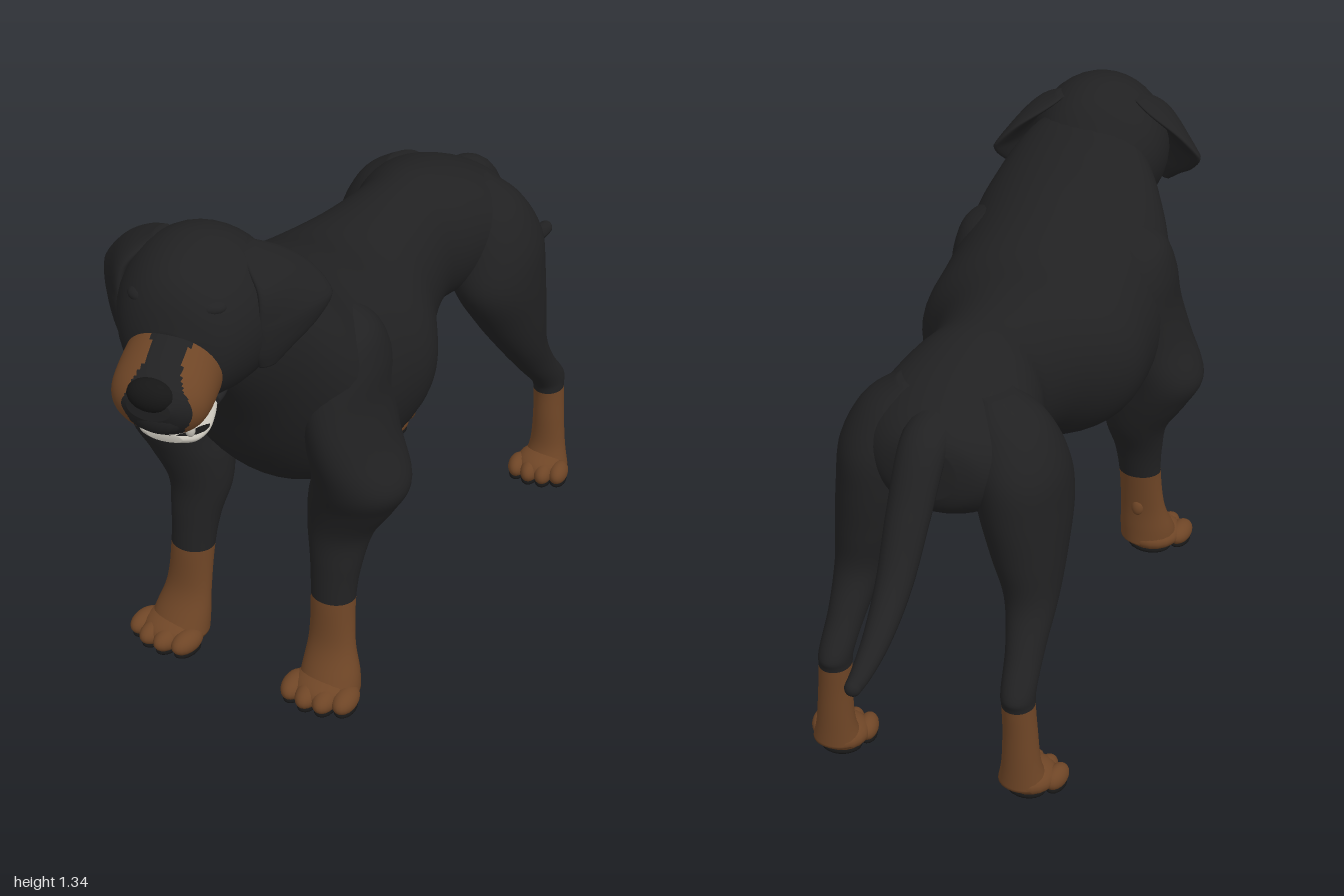
import * as THREE from 'three';

const mat = (name, color) => {
  const m = new THREE.MeshStandardMaterial({ color });
  m.name = name;
  return m;
};
const coat = mat('black coat', 0x212122);
const tan = mat('tan markings', 0x6e4526);
const dark = mat('pads and nose', 0x161616);
const ivory = mat('teeth and jaw', 0xc4c0b6);
const pink = mat('tongue', 0x8a5538);

const spline = (a, b, c, d, t) =>
  0.5 * (2 * b + (c - a) * t + (2 * a - 5 * b + 4 * c - d) * t * t + (3 * b - a - 3 * c + d) * t * t * t);

// Skin over elliptical sections [pos, cu, cv, ru, rv], running up z or down y.
// paint(pos, angle) picks the material index of each face.
function loft(axis, sections, paint = () => 0, seg = 36, steps = 6) {
  const n = sections.length, rings = [];
  const at = (i) => sections[Math.max(0, Math.min(n - 1, i))];
  for (let i = 0; i < n - 1; i++)
    for (let s = 0; s < steps; s++)
      rings.push(at(i).map((_, k) => spline(at(i - 1)[k], at(i)[k], at(i + 1)[k], at(i + 2)[k], s / steps)));
  rings.push(at(n - 1));
  const pos = [], faces = [[], []];
  const put = (p, u, v) => (axis === 'z' ? pos.push(u, v, p) : pos.push(u, p, v));
  for (const [p, cu, cv, ru, rv] of rings)
    for (let j = 0; j < seg; j++) {
      const a = (j / seg) * Math.PI * 2;
      put(p, cu + Math.max(ru, 0.002) * Math.cos(a), cv + Math.max(rv, 0.002) * Math.sin(a));
    }
  const last = rings.length - 1, c0 = rings.length * seg, c1 = c0 + 1;
  put(...rings[0].slice(0, 3));
  put(...rings[last].slice(0, 3));
  for (let j = 0; j < seg; j++) {
    const k = (j + 1) % seg, ang = ((j + 0.5) / seg) * Math.PI * 2;
    for (let i = 0; i < last; i++) {
      const a = i * seg + j, b = i * seg + k, c = b + seg, d = a + seg;
      faces[paint((rings[i][0] + rings[i + 1][0]) / 2, ang)].push(a, b, c, a, c, d);
    }
    faces[paint(rings[0][0], ang)].push(c0, k, j);
    faces[paint(rings[last][0], ang)].push(c1, last * seg + j, last * seg + k);
  }
  const g = new THREE.BufferGeometry();
  g.setAttribute('position', new THREE.Float32BufferAttribute(pos, 3));
  g.setIndex([...faces[0], ...faces[1]]);
  g.addGroup(0, faces[0].length, 0);
  g.addGroup(faces[0].length, faces[1].length, 1);
  g.computeVertexNormals();
  return g;
}

function add(parent, name, geo, material) {
  const m = new THREE.Mesh(geo, material);
  m.name = name;
  parent.add(m);
  return m;
}
function ball(parent, name, material, [x, y, z], [rx, ry, rz]) {
  const m = add(parent, name, new THREE.SphereGeometry(1, 20, 14), material);
  m.position.set(x, y, z);
  m.scale.set(rx, ry, rz);
  return m;
}
// Turns [z, top, bottom, halfWidth] into loft sections
const spans = (rows, cx = 0) => rows.map(([z, t, b, r]) => [z, cx, (t + b) / 2, r, (t - b) / 2]);

function paw(parent, x, z, size, turn) {
  const g = new THREE.Group();
  g.name = 'paw';
  ball(g, 'foot', tan, [0, 0.044, -0.005], [0.078, 0.04, 0.08]);
  ball(g, 'mainPad', dark, [0, 0.016, -0.025], [0.06, 0.016, 0.05]);
  for (let i = 0; i < 4; i++) {
    const u = i - 1.5, tx = u * 0.045, tz = 0.052 - Math.abs(u) * 0.016;
    ball(g, 'toe', tan, [tx, 0.038, tz], [0.03, 0.03, 0.05]);
    ball(g, 'toePad', dark, [tx, 0.013, tz], [0.026, 0.013, 0.042]);
  }
  g.position.set(x, 0, z);
  g.rotation.y = turn;
  g.scale.set(size, 1, size);
  parent.add(g);
}

function leg(parent, name, s, rows) {
  const sections = rows.map(([y, x, z, rx, rz]) => [y, s * x + 0.008, z, rx, rz]);
  add(parent, name, loft('y', sections, (y) => (y < 0.28 ? 1 : 0)), [coat, tan]);
}

export function createModel() {
  const dog = new THREE.Group();
  dog.name = 'dog';

  // Trunk and neck
  add(dog, 'body', loft('z', spans([
    [-0.555, 0.92, 0.78, 0.07], [-0.535, 0.95, 0.74, 0.135], [-0.48, 0.99, 0.7, 0.19],
    [-0.38, 1.035, 0.68, 0.215], [-0.26, 1.064, 0.69, 0.187], [-0.16, 1.066, 0.68, 0.163],
    [0, 1.058, 0.63, 0.205], [0.15, 1.055, 0.55, 0.29], [0.28, 1.095, 0.51, 0.3],
    [0.4, 1.14, 0.52, 0.295], [0.49, 1.205, 0.57, 0.28], [0.56, 1.265, 0.67, 0.24],
    [0.61, 1.285, 0.79, 0.195], [0.65, 1.26, 0.87, 0.155], [0.69, 1.2, 0.94, 0.1],
  ], 0.015), undefined, 48), [coat, coat]);
  ball(dog, 'sheath', coat, [0.02, 0.66, -0.12], [0.025, 0.035, 0.055]).rotation.x = -0.35;

  // Legs and paws
  for (const s of [1, -1]) {
    leg(dog, 'frontLeg', s, [
      [1.07, 0.16, 0.42, 0.02, 0.03], [1.02, 0.192, 0.42, 0.075, 0.09], [0.94, 0.207, 0.42, 0.092, 0.13],
      [0.84, 0.217, 0.43, 0.093, 0.15], [0.74, 0.238, 0.445, 0.1, 0.14], [0.63, 0.262, 0.445, 0.12, 0.12],
      [0.55, 0.235, 0.44, 0.112, 0.098], [0.46, 0.205, 0.445, 0.085, 0.075], [0.37, 0.205, 0.47, 0.066, 0.058],
      [0.28, 0.207, 0.487, 0.058, 0.05], [0.16, 0.213, 0.504, 0.062, 0.043], [0.08, 0.222, 0.525, 0.076, 0.06],
      [0.035, 0.225, 0.54, 0.08, 0.075],
    ]);
    paw(dog, s * 0.227, 0.55, 1.03, s * 0.12);
    ball(dog, 'dewPad', tan, [s * 0.21 + 0.008, 0.165, 0.466], [0.018, 0.026, 0.015]);

    leg(dog, 'hindLeg', s, [
      [1.0, 0.1, -0.38, 0.04, 0.05], [0.94, 0.135, -0.39, 0.09, 0.1], [0.84, 0.165, -0.395, 0.113, 0.143],
      [0.73, 0.18, -0.39, 0.112, 0.155], [0.61, 0.2, -0.42, 0.092, 0.118], [0.5, 0.22, -0.458, 0.066, 0.078],
      [0.4, 0.23, -0.527, 0.048, 0.064], [0.32, 0.236, -0.595, 0.042, 0.058], [0.28, 0.238, -0.603, 0.041, 0.047],
      [0.2, 0.242, -0.602, 0.043, 0.042], [0.1, 0.245, -0.6, 0.05, 0.042], [0.035, 0.247, -0.585, 0.065, 0.058],
    ]);
    paw(dog, s * 0.25, -0.567, 0.87, s * 0.2);
  }

  // Tapered tail, a little wider than it is thick
  const path = new THREE.CatmullRomCurve3([
    [0.02, 0.94, -0.46], [0.025, 0.92, -0.535], [0.03, 0.785, -0.63], [0.03, 0.65, -0.73],
    [0.03, 0.57, -0.84], [0.03, 0.538, -0.94], [0.03, 0.535, -0.98],
  ].map((p) => new THREE.Vector3(...p)));
  const tail = new THREE.TubeGeometry(path, 40, 1, 16), tp = tail.attributes.position;
  const v = new THREE.Vector3();
  for (let i = 0; i < tp.count; i++) {
    const t = Math.floor(i / 17) / 40, c = path.getPointAt(t);
    v.fromBufferAttribute(tp, i).sub(c).multiplyScalar(0.049 - 0.029 * Math.pow(t, 2.2));
    v.x *= 1.25 - 0.25 * t;
    v.add(c);
    tp.setXYZ(i, v.x, v.y, v.z);
  }
  tail.computeVertexNormals();
  add(dog, 'tail', tail, coat);
  ball(dog, 'tailTip', coat, [0.03, 0.535, -0.98], [0.02, 0.02, 0.02]);

  // Head, turned a little to its left about the neck
  const pivot = new THREE.Group(), head = new THREE.Group();
  pivot.name = 'headTurn';
  head.name = 'head';
  pivot.position.set(-0.015, 0, 0.62);
  pivot.rotation.y = 0.21;
  head.position.z = -0.62;
  pivot.add(head);
  dog.add(pivot);

  add(head, 'skull', loft('z', spans([
    [0.53, 1.23, 1.05, 0.11], [0.59, 1.305, 0.99, 0.16], [0.67, 1.335, 0.95, 0.183], [0.75, 1.328, 0.955, 0.176],
    [0.82, 1.298, 0.975, 0.146], [0.86, 1.25, 1.0, 0.11], [0.885, 1.18, 1.05, 0.06],
  ])), [coat, coat]);

  // Muzzle with a rounded tan patch on each side, the right one larger
  const patches = (z, a) => {
    const [mid, half, rise] = Math.cos(a) < 0 ? [0.921, 0.07, 0.975] : [0.912, 0.061, 0.88];
    return Math.abs((z - mid) / half) ** 2.6 + Math.abs(Math.sin(a) / rise) ** 6 < 1 ? 1 : 0;
  };
  add(head, 'muzzle', loft('z', spans([
    [0.78, 1.23, 0.985, 0.11], [0.85, 1.2, 0.965, 0.113], [0.91, 1.165, 0.958, 0.115],
    [0.95, 1.14, 0.966, 0.108], [0.98, 1.115, 0.993, 0.085], [0.999, 1.09, 1.03, 0.05],
  ]), patches, 80, 12), [coat, tan]);
  ball(head, 'nose', dark, [0, 1.085, 0.98], [0.056, 0.04, 0.034]);
  ball(head, 'frontLip', coat, [0.008, 1.028, 0.965], [0.066, 0.047, 0.034]);

  // Open mouth, the jaw rising toward its hinge
  add(head, 'lowerJaw', loft('z', spans([
    [0.78, 0.99, 0.945, 0.07], [0.82, 0.975, 0.927, 0.08], [0.86, 0.96, 0.914, 0.082],
    [0.9, 0.953, 0.914, 0.07], [0.922, 0.948, 0.925, 0.04],
  ])), [ivory, ivory]);
  add(head, 'jawHinge', loft('z', spans([
    [0.7, 1.02, 0.955, 0.07], [0.76, 1.01, 0.945, 0.085], [0.795, 0.995, 0.94, 0.08],
  ])), [coat, coat]);
  ball(head, 'lipLine', dark, [0, 0.945, 0.866], [0.083, 0.005, 0.058]);
  ball(head, 'upperTeeth', ivory, [0, 0.978, 0.9], [0.07, 0.017, 0.042]);
  ball(head, 'tongue', pink, [0, 0.968, 0.893], [0.042, 0.015, 0.054]);
  for (const s of [1, -1]) {
    ball(head, 'canine', ivory, [s * 0.056, 0.962, 0.908], [0.012, 0.02, 0.012]);

    // Folded ear, flaring out toward its rear edge
    const ear = loft('y', [
      [1.3, 0.1, 0.66, 0.015, 0.03], [1.27, 0.145, 0.66, 0.026, 0.07], [1.23, 0.185, 0.662, 0.026, 0.09],
      [1.17, 0.212, 0.67, 0.024, 0.092], [1.12, 0.214, 0.69, 0.02, 0.072], [1.08, 0.206, 0.715, 0.018, 0.046],
      [1.045, 0.198, 0.728, 0.012, 0.02],
    ].map(([y, x, z, rx, rz]) => [y, s * x, z, rx, rz]));
    const p = ear.attributes.position;
    for (let i = 0; i < p.count; i++) {
      const flare = 0.55 * THREE.MathUtils.clamp((1.29 - p.getY(i)) / 0.12, 0, 1);
      p.setX(i, p.getX(i) + s * flare * (0.68 - p.getZ(i)));
    }
    ear.computeVertexNormals();
    add(head, 'ear', ear, [coat, coat]);

    // Brow and eye
    ball(head, 'brow', coat, [s * 0.072, 1.232, 0.815], [0.045, 0.022, 0.035]);
    ball(head, 'eye', coat, [s * 0.082, 1.203, 0.832], [0.018, 0.012, 0.012]);
  }
  return dog;
}
